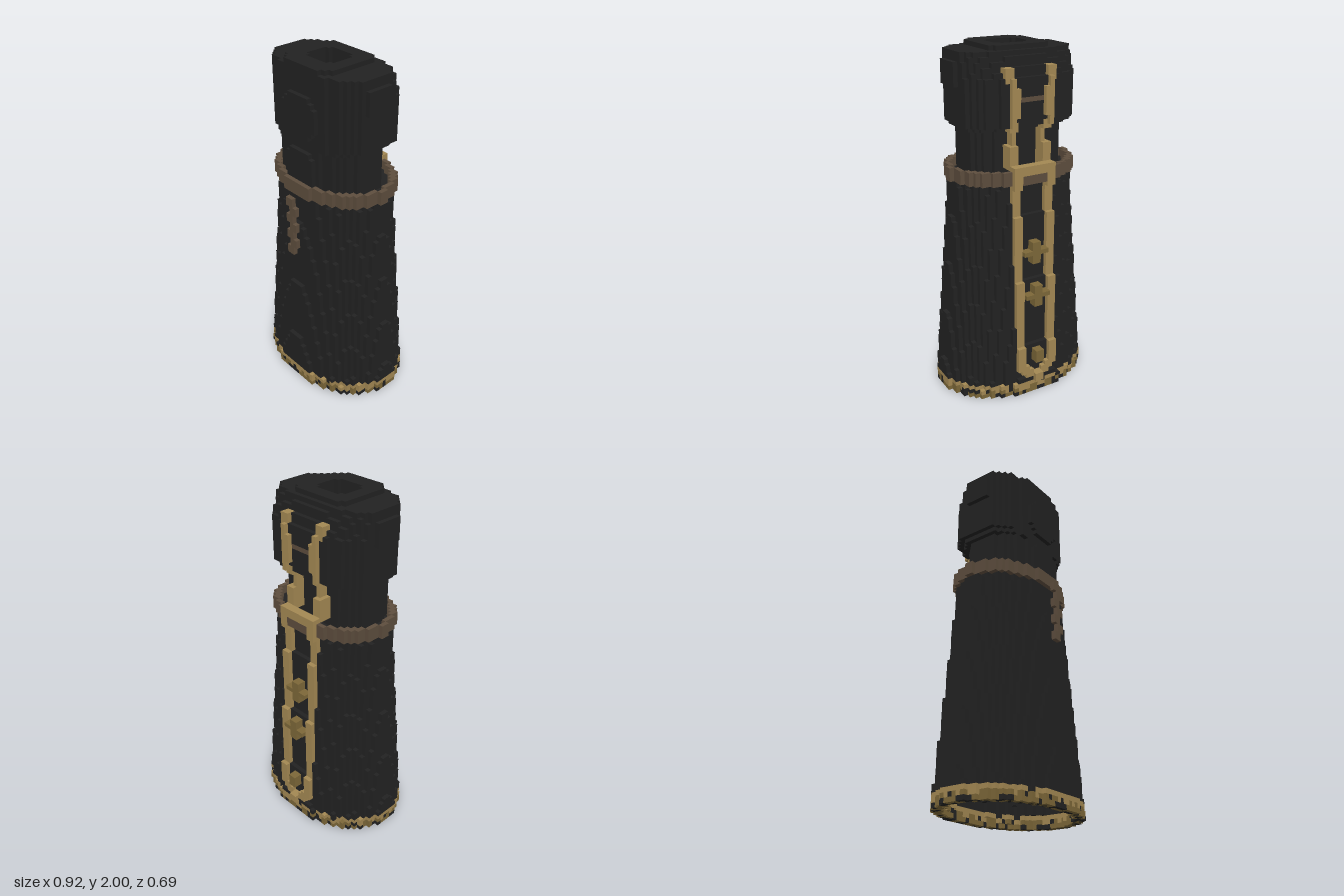
import * as THREE from 'three';

const V = 2 / 78; // edge of one block; the figure is 78 blocks tall

// Small repeatable hash for the worn hem pattern
function hash(i, j, k) {
  const s = Math.sin(i * 12.99 + j * 78.23 + k * 37.72) * 43758.55;
  return s - Math.floor(s);
}

export function createModel() {
  const mat = (name, color) => {
    const m = new THREE.MeshStandardMaterial({ color });
    m.name = name;
    return m;
  };
  const dark = mat('blackCloth', 0x222222);
  const brown = mat('brownLeather', 0x5d4d3d);
  const gold = mat('gold', 0xa38853);
  const oldGold = mat('oldGold', 0x7c6738);
  const parts = {
    robe: dark, neck: dark, hood: dark, belt: brown, chain: brown, hoodBar: brown,
    hemTop: gold, hemBottom: oldGold, stoleBorder: gold, stoleOrnaments: oldGold,
  };

  // Blocks by position: later parts overwrite earlier ones
  const grid = new Map();
  const key = (i, j, k) => ((j + 2) * 64 + k + 32) * 64 + i + 32;
  const set = (part, i, j, k) => grid.set(key(i, j, k), { part, i, j, k });
  const box = (part, i0, i1, j0, j1, k0, k1) => {
    for (let j = j0; j <= j1; j++)
      for (let k = k0; k <= k1; k++)
        for (let i = i0; i <= i1; i++) set(part, i, j, k);
  };
  const pair = (part, i0, i1, j0, j1, k0, k1) => {
    box(part, i0, i1, j0, j1, k0, k1);
    box(part, -1 - i1, -1 - i0, j0, j1, k0, k1);
  };
  // Fills one layer where test(x, z) holds, measured from the block centres
  const layer = (j, test, partAt) => {
    for (let i = -18; i < 18; i++)
      for (let k = -13; k < 13; k++)
        if (test(i + 0.5, k + 0.5)) set(partAt(i, k), i, j, k);
  };
  const inside = (x, z, a, b, n = 2) => a > 0 && b > 0 && Math.abs(x / a) ** n + Math.abs(z / b) ** n <= 1;
  const halfW = (j) => 18.15 - 3.35 * (j + 0.5) * V;
  const halfD = (j) => 13.3 - 2.55 * (j + 0.5) * V;
  const backK = (j) => -1 - Math.floor(halfD(j) - 0.5);

  // Robe: hollow flared oval with a worn hem and a sunken strip down the back
  for (let j = 0; j <= 50; j++) {
    const a = halfW(j), b = halfD(j);
    layer(j, (x, z) => {
      const sunk = j > 3 && Math.abs(x) < 5 && z < backK(j) + 1;
      const hollow = j < 48 && inside(x, z, a - 2, b - 2);
      return inside(x, z, a, b) && !hollow && !sunk;
    }, (i, k) => {
      const r = hash(i, j, k);
      if (j === 2) return r < 0.88 ? 'hemTop' : 'robe';
      if (j === 1) return r < 0.4 ? 'hemTop' : r < 0.85 ? 'hemBottom' : 'robe';
      if (j === 0) return r < 0.65 ? 'hemBottom' : 'robe';
      return 'robe';
    });
  }

  // Belt: thin ring standing proud of the robe
  for (let j = 50; j <= 52; j++)
    layer(j, (x, z) => inside(x, z, 14.55, 10.9) && !inside(x, z, 13.6, 9.9), () => 'belt');

  // Neck, flatter at the back, with a plate in front
  for (let j = 51; j <= 60; j++)
    layer(j, (x, z) => inside(x, z, 11.2, z > 0 ? 9 : 6.2, 2.6), () => 'neck');
  box('neck', -4, 3, 53, 58, 9, 9);
  box('neck', -3, 2, 59, 59, 9, 9);

  // Hood: rounded block sloping forward at the back of the crown
  const crown = { 76: 6, 75: 6.6, 74: 7.2, 73: 7.7, 72: 8.2 };
  for (let j = 61; j <= 76; j++) {
    const a = j < 62 ? 12.1 : 13.1;
    const back = j < 62 ? 7 : crown[j] ?? 9;
    layer(j, (x, z) => inside(x, z, a, z > 0 ? 9.1 : back, 3), () => 'hood');
  }
  layer(77, (x, z) => inside(x, z, 7.3, z > 0 ? 9.1 : 5.2, 4), () => 'hood');

  // Round face plate and square side plates
  for (let j = 63; j <= 71; j++) {
    const w = 4 - Math.max(0, Math.abs(j - 67) - 2);
    box('hood', -w - 1, w, j, j, 8, 9);
  }
  pair('hood', 13, 13, 70, 74, -2, 3);

  // Well in the top of the hood
  for (let j = 74; j <= 77; j++)
    for (let i = -4; i < 4; i++)
      for (let k = -2; k < 5; k++)
        if (Math.abs(i + 0.5) + Math.abs(k - 1) < 5.6) grid.delete(key(i, j, k));

  // Hanging chain in front
  for (let j = 36; j <= 49; j++) {
    const s = j % 4 < 2 ? -1 : 0;
    box('chain', s, s + 1, j, j, 12, 12);
  }

  // Stole border: two bands down the robe, closing to a point
  for (let j = 4; j <= 49; j++) {
    const k = backK(j);
    if (j > 6) pair('stoleBorder', 3, 4, j, j, k, k);
    else pair('stoleBorder', j - 4, j - 2, j, j, k, k);
  }
  box('stoleBorder', -1, 0, 3, 4, -14, -13);

  // Buckle over the belt, then bands up the neck and hood
  pair('stoleBorder', 3, 4, 49, 53, -11, -10);
  box('stoleBorder', -4, 3, 52, 53, -11, -10);
  pair('stoleBorder', 3, 4, 53, 57, -9, -7);
  pair('stoleBorder', 3, 3, 58, 60, -8, -6);
  pair('stoleBorder', 3, 4, 61, 62, -9, -8);
  pair('stoleBorder', 4, 4, 62, 71, -10, -10);
  pair('stoleBorder', 3, 3, 64, 69, -10, -10);
  pair('stoleBorder', 4, 5, 71, 73, -9, -8);
  box('hoodBar', -3, 2, 67, 67, -9, -9);

  // Crosses and stud on the back strip
  for (const [j0, j1, bar] of [[32, 36, 34], [22, 26, 24]]) {
    const k = backK(j0);
    box('stoleOrnaments', -1, 0, j0, j1, k - 1, k);
    box('stoleOrnaments', -3, 2, bar, bar, k - 1, k);
  }
  box('stoleOrnaments', -1, 0, 8, 10, -14, -13);

  // Turn the exposed block faces of each part into one mesh
  const sides = [];
  for (let axis = 0; axis < 3; axis++)
    for (const s of [1, -1]) {
      const n = [0, 0, 0];
      n[axis] = s;
      const u = (axis + 1) % 3, w = (axis + 2) % 3;
      const ring = s > 0 ? [[0, 0], [1, 0], [1, 1], [0, 1]] : [[0, 0], [0, 1], [1, 1], [1, 0]];
      const corners = ring.map(([p, q]) => {
        const c = [0, 0, 0];
        c[axis] = s > 0 ? 1 : 0;
        c[u] = p;
        c[w] = q;
        return c;
      });
      sides.push({ n, corners });
    }

  const group = new THREE.Group();
  group.name = 'robedFigure';
  for (const [part, material] of Object.entries(parts)) {
    const pos = [], nor = [], idx = [];
    for (const b of grid.values()) {
      if (b.part !== part) continue;
      for (const { n, corners } of sides) {
        if (grid.has(key(b.i + n[0], b.j + n[1], b.k + n[2]))) continue;
        const f = pos.length / 3;
        for (const c of corners) {
          pos.push((b.i + c[0]) * V, (b.j + c[1]) * V, (b.k + c[2] + 0.5) * V);
          nor.push(...n);
        }
        idx.push(f, f + 1, f + 2, f, f + 2, f + 3);
      }
    }
    const g = new THREE.BufferGeometry();
    g.setAttribute('position', new THREE.Float32BufferAttribute(pos, 3));
    g.setAttribute('normal', new THREE.Float32BufferAttribute(nor, 3));
    g.setIndex(idx);
    const mesh = new THREE.Mesh(g, material);
    mesh.name = part;
    group.add(mesh);
  }
  return group;
}
